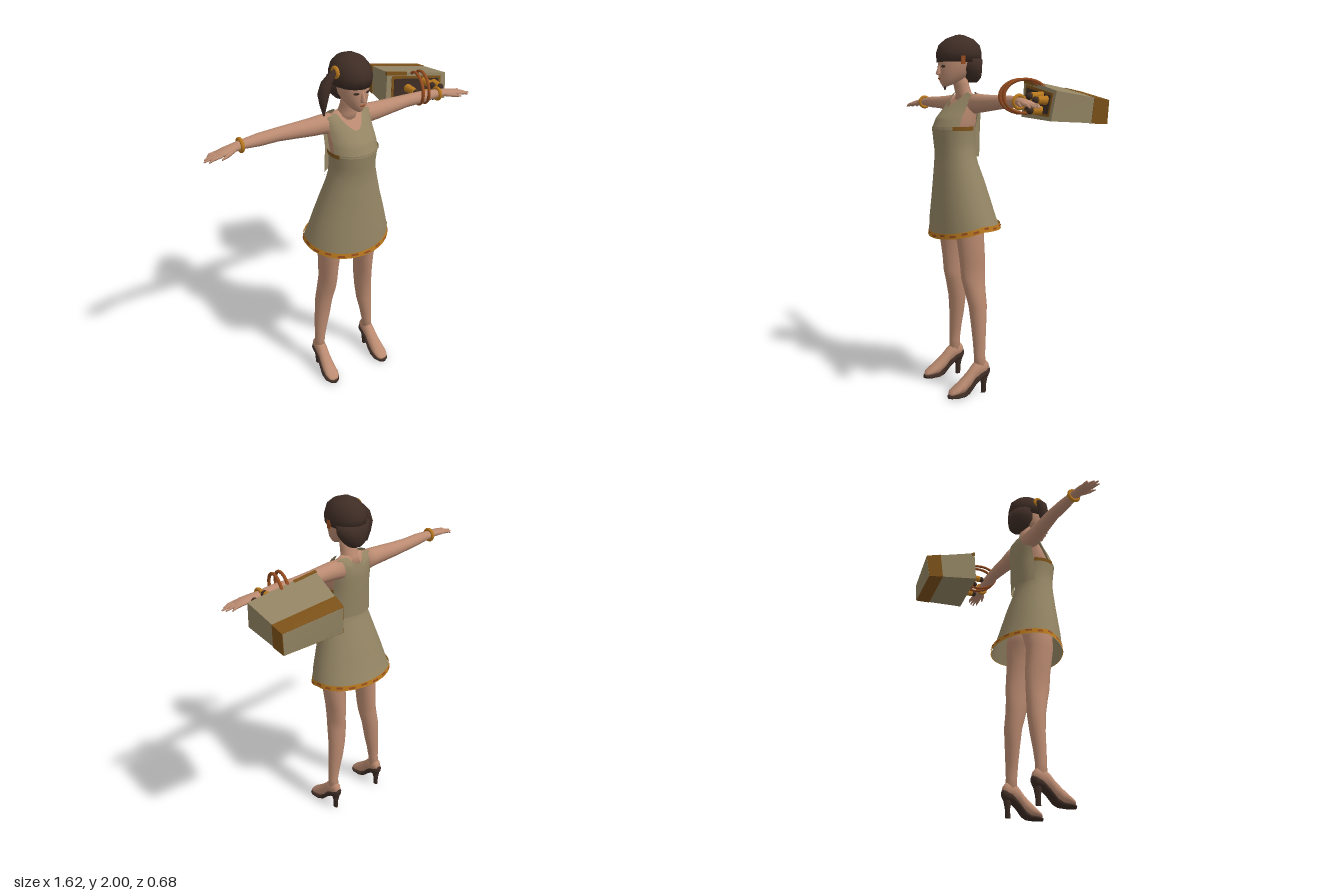
import * as THREE from 'three';

const mat = (name, color, side = THREE.FrontSide) => {
  const m = new THREE.MeshStandardMaterial({ color, side });
  m.name = name;
  return m;
};

// Loft of ellipses along an axis. Row: [position, centreA, centreB, radiusA, radiusB]
// with (A, B) = (z, x) for y, (y, z) for x and (x, y) for z.
function loft(axis, rows, segs = 14, closed = true) {
  const pos = [], idx = [], n = rows.length;
  const put = (p, a, b) => pos.push(...(axis === 'y' ? [b, p, a] : axis === 'x' ? [p, a, b] : [a, b, p]));
  for (const [p, a, b, ra, rb] of rows)
    for (let j = 0; j < segs; j++) {
      const t = (j / segs) * Math.PI * 2;
      put(p, a + ra * Math.cos(t), b + rb * Math.sin(t));
    }
  for (let i = 0; i < n - 1; i++)
    for (let j = 0; j < segs; j++) {
      const a = i * segs + j, b = i * segs + (j + 1) % segs, c = a + segs, d = b + segs;
      idx.push(a, b, c, b, d, c);
    }
  if (closed) {
    put(rows[0][0], rows[0][1], rows[0][2]);
    put(rows[n - 1][0], rows[n - 1][1], rows[n - 1][2]);
    const lo = n * segs, top = (n - 1) * segs;
    for (let j = 0; j < segs; j++) {
      const k = (j + 1) % segs;
      idx.push(lo, k, j, lo + 1, top + j, top + k);
    }
  }
  return finish(pos, idx);
}

function finish(pos, idx) {
  const g = new THREE.BufferGeometry();
  g.setAttribute('position', new THREE.Float32BufferAttribute(pos, 3));
  g.setIndex(idx);
  g.computeVertexNormals();
  return g;
}

// Rectangular sheet from a rule f(u, v) giving [x, y, z]
function sheet(f, nu, nv) {
  const pos = [], idx = [];
  for (let i = 0; i <= nv; i++)
    for (let j = 0; j <= nu; j++) pos.push(...f(j / nu, i / nv));
  for (let i = 0; i < nv; i++)
    for (let j = 0; j < nu; j++) {
      const a = i * (nu + 1) + j, c = a + nu + 1;
      idx.push(a, a + 1, c, a + 1, c + 1, c);
    }
  return finish(pos, idx);
}

// Mirror in x, keeping faces outward
function mirror(g) {
  const m = g.clone().scale(-1, 1, 1), ix = m.index.array;
  for (let i = 0; i < ix.length; i += 3) [ix[i], ix[i + 1]] = [ix[i + 1], ix[i]];
  m.computeVertexNormals();
  return m;
}

// Linear lookup in [key, value] pairs
function look(table, k) {
  for (let i = 1; i < table.length; i++)
    if (k <= table[i][0]) {
      const [k0, v0] = table[i - 1], [k1, v1] = table[i];
      return v0 + (v1 - v0) * Math.max(0, (k - k0) / (k1 - k0));
    }
  return table[table.length - 1][1];
}

export function createModel() {
  const root = new THREE.Group();
  const skin = mat('skin', 0xbb8b71), dress = mat('olive cloth', 0x948564, THREE.DoubleSide);
  const hair = mat('dark hair', 0x3f2d25), gold = mat('orange gold', 0xbb7a1e, THREE.DoubleSide);
  const brown = mat('brown trim', 0x7d5219, THREE.DoubleSide);
  const rust = mat('rust', 0x964c20, THREE.DoubleSide), dark = mat('dark leather', 0x3d2c24);
  const add = (name, g, m, x = 0, y = 0, z = 0) => {
    const o = new THREE.Mesh(g, m);
    o.name = name;
    o.position.set(x, y, z);
    root.add(o);
    return o;
  };
  const pair = (name, g, m) => { add(name + 'Left', g, m); add(name + 'Right', mirror(g), m); };

  // Legs, feet and heeled shoes
  pair('leg', loft('y', [[.15, .128, .172, .036, .03], [.22, .132, .17, .032, .03], [.3, .13, .162, .036, .037],
    [.4, .127, .148, .043, .047], [.5, .127, .138, .052, .051], [.6, .14, .125, .062, .053],
    [.66, .147, .121, .071, .047], [.75, .15, .12, .075, .052], [.9, .165, .12, .08, .065],
    [1, .165, .1, .09, .08], [1.1, .165, .075, .09, .085]], 16), skin);
  pair('foot', loft('z', [[.082, .172, .15, .018, .025], [.1, .172, .155, .03, .04], [.14, .172, .148, .033, .05],
    [.17, .172, .13, .033, .047], [.2, .174, .095, .035, .047], [.24, .176, .062, .039, .042],
    [.28, .177, .044, .042, .026], [.31, .177, .032, .034, .014], [.322, .177, .026, .018, .006]], 12), skin);
  pair('sole', loft('z', [[.075, .172, .13, .016, .02], [.09, .172, .122, .031, .034], [.13, .172, .108, .035, .027],
    [.17, .173, .074, .035, .022], [.21, .175, .03, .038, .02], [.24, .177, .015, .043, .014],
    [.29, .178, .012, .045, .012], [.32, .178, .011, .03, .01], [.33, .178, .01, .012, .008]], 12), dark);
  pair('heel', loft('y', [[0, .11, .173, .016, .012], [.05, .108, .173, .016, .014], [.12, .108, .172, .03, .03]], 8), dark);

  // Arms and hands
  pair('arm', loft('x', [[.09, 1.625, .125, .055, .055], [.14, 1.63, .125, .052, .05], [.2, 1.63, .125, .048, .046],
    [.3, 1.632, .12, .041, .042], [.4, 1.635, .118, .035, .036], [.5, 1.637, .125, .033, .034],
    [.6, 1.638, .13, .023, .028], [.64, 1.636, .135, .02, .031], [.7, 1.63, .142, .016, .037],
    [.74, 1.624, .144, .011, .033]], 14), skin);
  [[.119, .115, .775], [.137, .138, .8], [.154, .158, .81], [.17, .176, .79]].forEach(([z0, z1, x1], i) =>
    pair('finger' + (i + 1), loft('x', [[.72, 1.627, z0, .01, .01], [.765, 1.62, (z0 + z1) / 2, .008, .009],
      [x1, 1.61, z1, .004, .004]], 7), skin));
  pair('thumb', loft('x', [[.645, 1.632, .155, .012, .012], [.69, 1.624, .178, .01, .01], [.73, 1.615, .19, .004, .004]], 7), skin);
  for (const s of [1, -1])
    add(s > 0 ? 'braceletLeft' : 'braceletRight', new THREE.TorusGeometry(.031, .01, 8, 18), gold, s * .605, 1.637, .13)
      .rotation.y = Math.PI / 2;

  // Upper body and neck
  add('torso', loft('y', [[1.42, .2, 0, .09, .11], [1.52, .185, 0, .1, .122], [1.58, .165, 0, .08, .124],
    [1.63, .145, 0, .058, .122], [1.67, .135, 0, .038, .105], [1.69, .135, 0, .025, .065]], 20), skin);
  add('neck', loft('y', [[1.63, .135, 0, .055, .065], [1.68, .143, 0, .045, .052], [1.73, .158, 0, .043, .044],
    [1.79, .17, 0, .045, .044]], 14), skin);

  // Skirt with its hem dipping at the front
  const S = 40, CZ = .145;
  const hemY = c => .938 - .053 * Math.max(0, c);
  const rows = [[.92, .335, -.045, .255], [1, .33, -.02, .238], [1.1, .322, .01, .21], [1.2, .316, .04, .178],
    [1.3, .31, .076, .15], [1.36, .308, .09, .135], [1.42, .317, .085, .127], [1.5, .325, .085, .135]];
  const skirt = loft('y', rows.map(([y, f, b, w]) => [y, (f + b) / 2, 0, (f - b) / 2, w]), S, false);
  for (let j = 0; j < S; j++) skirt.attributes.position.setY(j, hemY(Math.cos(j / S * Math.PI * 2)));
  skirt.computeVertexNormals();
  add('dressSkirt', skirt, dress);

  // Patterned hem
  const hem = (a, up, out) => [(.257 - up * .2 + out) * Math.sin(a), hemY(Math.cos(a)) + up,
    CZ + (.193 - up * .12 + out) * Math.cos(a)];
  add('hemBand', sheet((u, v) => hem(u * Math.PI * 2, v * .03, .001), S, 1), gold);
  for (let i = 0; i < 20; i++) {
    const a = i / 20 * Math.PI * 2;
    add('hemDash' + i, sheet((u, v) => hem(a + u * .16, .008 + (i % 2) * .006 + v * .012, .004), 1, 1), rust);
  }

  // Bodice panels with a scooped neck and open sides
  const front = [[1.49, .326], [1.55, .3], [1.6, .255], [1.65, .208], [1.7, .155]];
  const back = [[1.34, .07], [1.5, .062], [1.6, .06], [1.66, .07], [1.7, .115]];
  const mid = [[1.34, .18], [1.5, .18], [1.6, .15], [1.7, .135]];
  const panel = (profile, y0, neck) => sheet((u, v) => {
    const x = (u * 2 - 1) * .127;
    const top = Math.min(1.69, neck + .09 * (x / .08) ** 2) - Math.max(0, Math.abs(x) - .09) * .4;
    const y = y0 + (top - y0) * v, c = look(mid, y);
    return [x * (1 + .06 * Math.max(0, 1 - v * 2)), y, c + (look(profile, y) - c) * Math.sqrt(1 - (x / .138) ** 2)];
  }, 24, 12);
  add('dressFront', panel(front, 1.49, 1.61), dress);
  add('dressBack', panel(back, 1.34, 1.65), dress);
  for (const s of [1, -1])
    add('armholeTrim', sheet((u, v) => {
      const a = s * (1.05 + u * 1.05);
      return [.139 * Math.sin(a), 1.482 + v * .022, .205 + .124 * Math.cos(a)];
    }, 8, 1), brown);

  // Head and face
  add('head', loft('y', [[1.722, .256, 0, .014, .014], [1.735, .24, 0, .038, .032], [1.76, .216, 0, .074, .054],
    [1.8, .195, 0, .095, .073], [1.85, .187, 0, .104, .084], [1.92, .18, 0, .1, .085]], 18), skin);
  add('nose', loft('y', [[1.782, .288, 0, .016, .013], [1.79, .292, 0, .02, .014], [1.835, .284, 0, .01, .007]], 8), skin);
  for (const s of [1, -1]) {
    const eye = add(s > 0 ? 'eyeLeft' : 'eyeRight', new THREE.SphereGeometry(1, 12, 6), dark, s * .034, 1.828, .281);
    eye.scale.set(.016, .007, .004);
    eye.rotation.y = s * .4;
  }
  add('lips', new THREE.SphereGeometry(1, 10, 6), rust, 0, 1.763, .29).scale.set(.016, .005, .004);

  // Hair, side tail and ties
  add('hairCap', loft('y', [[1.852, .172, 0, .127, .1], [1.9, .172, 0, .131, .105], [1.945, .17, 0, .118, .093],
    [1.978, .168, 0, .08, .065], [2, .166, 0, .022, .02]], 14), hair);
  add('hairBack', loft('y', [[1.745, .1, 0, .035, .04], [1.77, .105, 0, .06, .068], [1.81, .115, 0, .074, .092],
    [1.87, .118, 0, .076, .1]], 14), hair);
  add('sideTail', loft('y', [[1.705, .185, -.163, .004, .004], [1.76, .185, -.167, .022, .016],
    [1.82, .185, -.166, .031, .031], [1.88, .188, -.148, .029, .031], [1.92, .19, -.118, .02, .022],
    [1.94, .19, -.098, .01, .01]], 8), hair);
  add('hairTie', new THREE.TorusGeometry(.024, .01, 7, 14), gold, -.1, 1.925, .19).rotation.y = Math.PI / 2;
  add('hairClip', new THREE.BoxGeometry(.008, .045, .025), rust, .099, 1.862, .192);

  // Bag: boxes warped into a tilted, tapering block (t runs from opening to base)
  const C = [[[.365, 1.56, -.02], [.375, 1.755, -.03]], [[.745, 1.545, .035], [.755, 1.69, .01]],
    [[.44, 1.545, -.315], [.45, 1.69, -.335]], [[.765, 1.53, -.28], [.77, 1.645, -.285]]]
    .map(e => e.map(p => new THREE.Vector3(...p)));
  const bagPoint = (u, v, t) => {
    const e = C.map(([lo, hi]) => lo.clone().lerp(hi, v));
    return e[0].lerp(e[1], u).lerp(e[2].lerp(e[3], u), t);
  };
  const bagBox = (name, m, u0, u1, v0, v1, t0, t1) => {
    const g = new THREE.BoxGeometry(1, 1, 1), p = g.attributes.position;
    for (let i = 0; i < p.count; i++) {
      const q = bagPoint(u0 + (u1 - u0) * (p.getX(i) + .5), v0 + (v1 - v0) * (p.getY(i) + .5),
        t0 + (t1 - t0) * (.5 - p.getZ(i)));
      p.setXYZ(i, q.x, q.y, q.z);
    }
    g.computeVertexNormals();
    add(name, g, m);
  };
  bagBox('bagBody', dress, 0, 1, 0, 1, 0, 1);
  bagBox('bagBand', brown, -.008, 1.008, -.016, 1.016, .71, .995);
  bagBox('bagRim', brown, -.006, .33, .9, 1.012, -.004, .06);
  bagBox('bagOpeningFrame', brown, .08, .92, .12, .88, -.008, .01);
  bagBox('bagOpening', dark, .12, .88, .2, .8, -.014, .01);

  // Bottles in the bag
  [[.5, 1.645], [.61, 1.665], [.67, 1.645], [.62, 1.595]].forEach(([x, y], i) => {
    add('bottle' + i, new THREE.CylinderGeometry(.019, .024, .07, 10), gold, x, y, .03).rotation.x = Math.PI / 2;
    add('bottleCap' + i, new THREE.SphereGeometry(.018, 10, 8), dark, x, y, .078);
  });

  // Two handles looped over the arm
  for (const s of [1, -1]) {
    const h = add(s > 0 ? 'handleOuter' : 'handleInner', new THREE.TorusGeometry(.1, .009, 8, 28), rust, .53 + s * .02, 1.665, .062);
    h.scale.set(1.12, .84, 1);
    h.rotation.y = -1.865;
  }
  return root;
}
